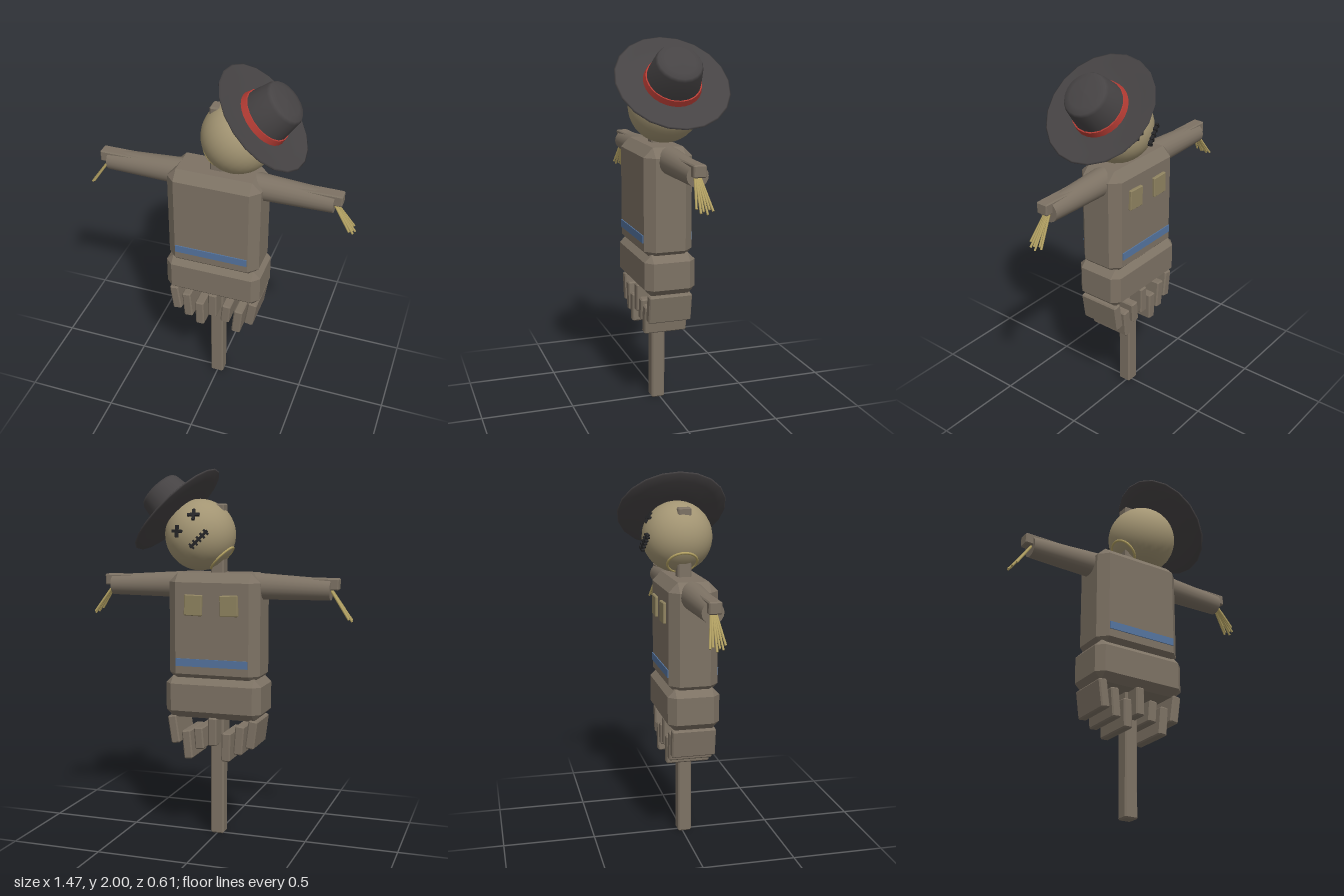
import * as THREE from 'three';
import { ConvexGeometry } from 'three/addons/geometries/ConvexGeometry.js';

const mat = (name, color, side = THREE.FrontSide) => {
  const m = new THREE.MeshStandardMaterial({ color, side });
  m.name = name;
  return m;
};

// Box with all edges chamfered
function chamferBox(w, h, d, c) {
  const pts = [];
  for (const sx of [-1, 1]) for (const sy of [-1, 1]) for (const sz of [-1, 1]) {
    const [x, y, z] = [w / 2, h / 2, d / 2];
    pts.push(
      new THREE.Vector3(sx * x, sy * (y - c), sz * (z - c)),
      new THREE.Vector3(sx * (x - c), sy * y, sz * (z - c)),
      new THREE.Vector3(sx * (x - c), sy * (y - c), sz * z));
  }
  return new ConvexGeometry(pts);
}

export function createModel() {
  const model = new THREE.Group();
  model.name = 'scarecrow';
  const cloth = mat('brown cloth and wood', 0x7d7264);
  const burlap = mat('burlap', 0xa39573);
  const felt = mat('dark felt', 0x464344);
  const red = mat('red ribbon', 0xb53c34);
  const blue = mat('blue stripe', 0x54749f);
  const straw = mat('straw', 0xb5a364);
  const patchCloth = mat('patch cloth', 0x8f8360);
  const thread = mat('black thread', 0x252527);

  const add = (parent, name, geo, material, x = 0, y = 0, z = 0, rz = 0) => {
    const m = new THREE.Mesh(geo, material);
    m.name = name;
    m.position.set(x, y, z);
    m.rotation.z = rz;
    parent.add(m);
    return m;
  };
  // Tapered rod from a to b
  const rod = (name, a, b, ra, rb, sides, material) => {
    const p = new THREE.Vector3(...a), q = new THREE.Vector3(...b);
    const dir = q.clone().sub(p);
    const m = add(model, name, new THREE.CylinderGeometry(rb, ra, dir.length(), sides), material);
    m.position.copy(p).add(q).multiplyScalar(0.5);
    m.quaternion.setFromUnitVectors(new THREE.Vector3(0, 1, 0), dir.normalize());
  };

  // Wooden frame
  add(model, 'post', chamferBox(0.075, 1.82, 0.075, 0.008), cloth, -0.002, 0.91, 0.011);
  add(model, 'crossbar', chamferBox(1.32, 0.062, 0.066, 0.006), cloth, 0, 1.405, 0.011);

  // Body
  add(model, 'torso', chamferBox(0.512, 0.595, 0.264, 0.05), cloth, 0, 1.158, 0.016);
  add(model, 'skirtBlock', chamferBox(0.54, 0.228, 0.28, 0.04), cloth, 0, 0.781, 0.013);

  // Blue stripe on both faces
  for (const z of [0.149, -0.117]) {
    add(model, 'stripe', new THREE.BoxGeometry(0.404, 0.042, 0.009), blue, 0, 0.974, z);
  }

  // Chest patches
  for (const s of [-1, 1]) {
    add(model, 'patch', chamferBox(0.1, 0.112, 0.02, 0.004), patchCloth, s * 0.1, 1.285, -0.122, s * 0.03);
  }

  // Ragged hem: x, y, height, lean
  const hem = [
    [-0.22, 0.596, 0.155, 0.13], [-0.15, 0.56, 0.16, 0.08], [-0.077, 0.516, 0.158, 0.02],
    [0, 0.596, 0.155, 0], [0.077, 0.555, 0.12, -0.08], [0.145, 0.516, 0.158, -0.1], [0.223, 0.596, 0.155, -0.15],
  ];
  for (const [x, y, h, lean] of hem) {
    add(model, 'hemStrip', chamferBox(0.05, h, 0.238, 0.007), cloth, x, y, 0.013, lean);
  }

  // Sleeves and straw hands
  for (const s of [-1, 1]) {
    rod('sleeve', [s * 0.2, 1.386, 0.009], [s * 0.618, 1.376, 0.009], 0.072, 0.056, 20, cloth);
    for (let i = 0; i < 6; i++) {
      const t = i / 5 - 0.5;
      const drop = 0.03 * Math.abs(t) + (i % 2) * 0.012;
      rod('strawFinger', [s * 0.61, 1.385, 0.011 + t * 0.02],
        [s * (0.735 - drop), 1.21 + drop, 0.008 + t * 0.08], 0.007, 0.006, 6, straw);
    }
  }

  // Tilted head; the face looks toward -z
  const head = new THREE.Group();
  head.name = 'head';
  head.position.set(0.1, 1.655, 0);
  head.rotation.z = -Math.PI / 4;
  model.add(head);
  add(head, 'skull', new THREE.SphereGeometry(0.191, 32, 24), burlap);
  add(head, 'neckRope', new THREE.TorusGeometry(0.08, 0.007, 8, 28), straw, 0, -0.174, 0).rotation.set(Math.PI / 2, 0, 0);

  // Face details sit on the sphere, turned outward
  const onFace = (name, x, y) => {
    const g = new THREE.Group();
    g.name = name;
    g.position.set(x, y, -Math.sqrt(0.193 ** 2 - x * x - y * y));
    g.lookAt(g.position.clone().multiplyScalar(2));
    head.add(g);
    return g;
  };
  for (const x of [-0.088, 0.032]) {
    const eye = onFace('eye', x, 0.062);
    for (const r of [-1, 1]) {
      add(eye, 'eyeStitch', new THREE.BoxGeometry(0.064, 0.016, 0.016), thread, 0, 0, 0, r * Math.PI / 4);
    }
  }
  const mouth = onFace('mouth', -0.026, -0.052);
  add(mouth, 'mouthLine', new THREE.BoxGeometry(0.125, 0.013, 0.018), thread, 0, 0, 0.004);
  for (let i = -2; i <= 2; i++) {
    add(mouth, 'mouthStitch', new THREE.BoxGeometry(0.01, 0.036, 0.018), thread, i * 0.026, 0, 0.006);
  }

  // Hat: brim with a raised rim, tapered crown, ribbon
  const hat = new THREE.Group();
  hat.name = 'hat';
  hat.position.y = 0.178;
  head.add(hat);
  const lathe = (pts) => new THREE.LatheGeometry(pts.map(([x, y]) => new THREE.Vector2(x, y)), 20);
  add(hat, 'brim', lathe([[0, -0.025], [0.15, -0.022], [0.25, -0.012], [0.298, 0.002],
    [0.303, 0.01], [0.295, 0.014], [0.24, 0.005], [0.14, 0], [0, 0]]), felt);
  add(hat, 'crown', lathe([[0.145, -0.005], [0.138, 0.05], [0.122, 0.145], [0.112, 0.16],
    [0.08, 0.168], [0, 0.172]]), felt);
  add(hat, 'ribbon', new THREE.CylinderGeometry(0.146, 0.153, 0.032, 28), red, 0, 0.017, 0);

  return model;
}
